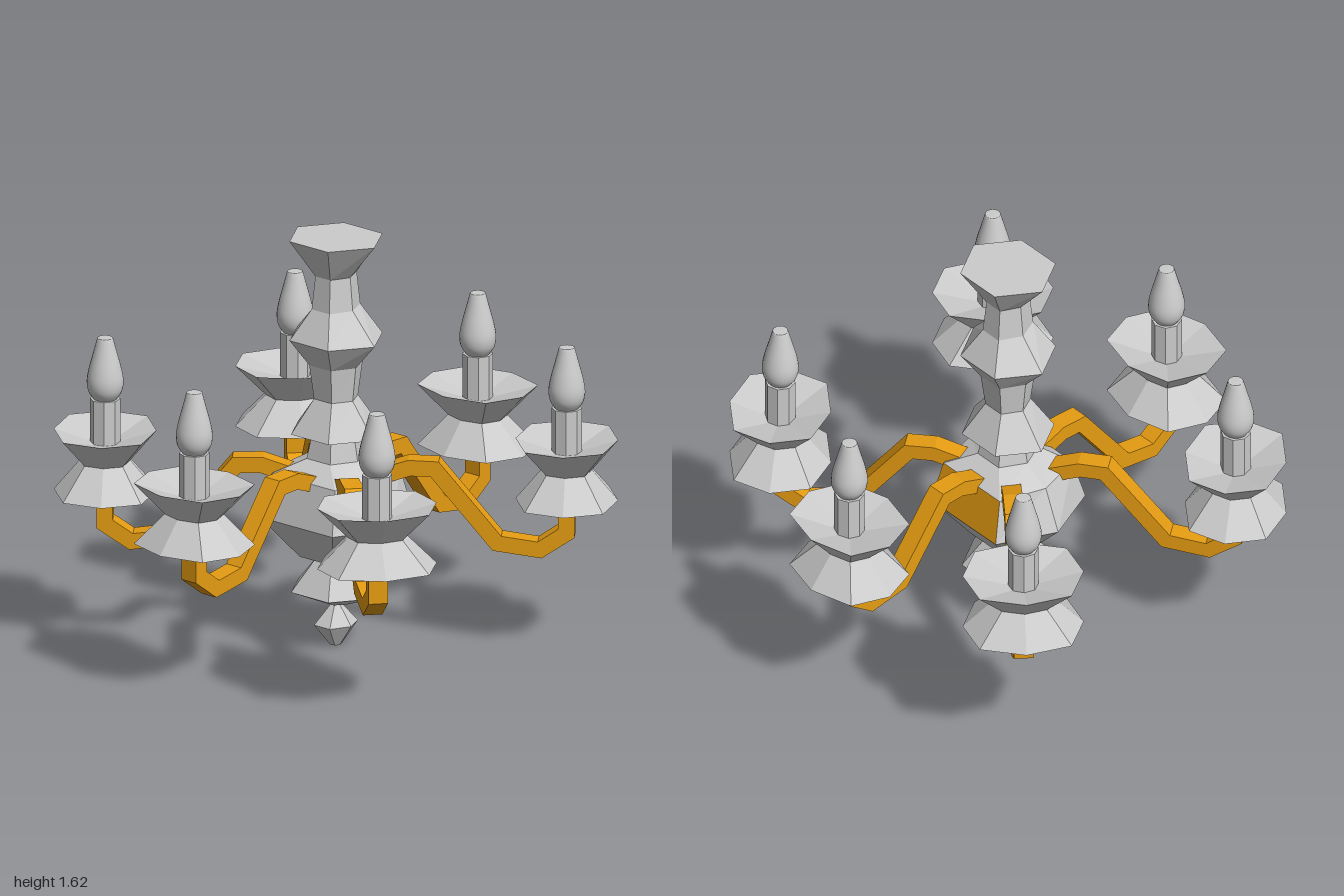
import * as THREE from 'three';

const grey = new THREE.MeshStandardMaterial({ color: 0xcccccc, flatShading: true });
const smoothGrey = new THREE.MeshStandardMaterial({ color: 0xcccccc });
const amber = new THREE.MeshStandardMaterial({ color: 0xe59c12, flatShading: true });

function part(name, geometry, material) {
  const mesh = new THREE.Mesh(geometry, material);
  mesh.name = name;
  return mesh;
}

// Joins equal-length rings of [x, y, z] points, bottom to top, with flat quads
function loft(rings, keep = () => true) {
  const pos = [];
  for (let i = 0; i < rings.length - 1; i++) {
    const n = rings[i].length;
    for (let j = 0; j < n; j++) {
      if (!keep(i, j)) continue;
      const k = (j + 1) % n;
      const a = rings[i][j], b = rings[i][k], c = rings[i + 1][k], d = rings[i + 1][j];
      pos.push(...a, ...b, ...c, ...a, ...c, ...d);
    }
  }
  const geo = new THREE.BufferGeometry();
  geo.setAttribute('position', new THREE.Float32BufferAttribute(pos, 3));
  geo.computeVertexNormals();
  return geo;
}

// Stretched hexagon: flat sides face +x and -x, points face +z and -z
const hexRing = ([y, x, side, tip]) => [
  [x, y, side], [x, y, -side], [0, y, -tip], [-x, y, -side], [-x, y, side], [0, y, tip],
];

// Column sections: height, half width, half side length, tip
const columnSections = [
  [0, 0, 0, 0], [0, 0.02, 0.012, 0.02], [0.085, 0.08, 0.04, 0.077], [0.17, 0.012, 0.006, 0.012],
  [0.17, 0.045, 0.03, 0.06], [0.22, 0.15, 0.095, 0.19], [0.35, 0.07, 0.04, 0.075],
  [0.355, 0.11, 0.085, 0.135], [0.52, 0.228, 0.185, 0.285], [0.69, 0.185, 0.16, 0.215],
  [0.75, 0.1, 0.06, 0.11], [0.83, 0.085, 0.05, 0.095], [0.85, 0.15, 0.095, 0.19],
  [0.985, 0.075, 0.045, 0.085], [1.12, 0.09, 0.055, 0.1], [1.225, 0.155, 0.0975, 0.195],
  [1.345, 0.088, 0.045, 0.085], [1.475, 0.075, 0.038, 0.072], [1.62, 0.155, 0.0975, 0.195],
  [1.62, 0, 0, 0],
];
const BODY = 8; // section at the widest part of the body

// Octagonal cup, pinched at the middle, with a shallow dish on top
function cupGeometry() {
  const ring = [[1, 0], [0.76, 0.76], [0, 1], [-0.76, 0.76], [-1, 0], [-0.76, -0.76], [0, -1], [0.76, -0.76]];
  const profile = [[0.61, 0], [0.595, 1], [0.715, 0.49], [0.835, 1], [0.77, 0]];
  return loft(profile.map(([y, s]) => ring.map(([u, v]) => [u * s * 0.195, y, -v * s * 0.23])));
}

// Bent square bar: a mitred strip in the radial plane, extruded sideways
function armGeometry(reach) {
  const path = [[1, 0.61], [1, 0.47], [0.885, 0.402], [0.7, 0.425], [0.43, 0.715], [0.32, 0.718], [0.19, 0.68]]
    .map(([r, y]) => new THREE.Vector2(r * reach, y));
  const half = 0.031, left = [], right = [];
  path.forEach((p, i) => {
    const d0 = (i > 0 ? p.clone().sub(path[i - 1]) : path[1].clone().sub(p)).normalize();
    const d1 = (i < path.length - 1 ? path[i + 1].clone().sub(p) : d0.clone()).normalize();
    const n0 = new THREE.Vector2(-d0.y, d0.x);
    const n = n0.clone().add(new THREE.Vector2(-d1.y, d1.x)).normalize();
    n.multiplyScalar(half / n.dot(n0));
    left.push(p.clone().add(n));
    right.unshift(p.clone().sub(n));
  });
  const geo = new THREE.ExtrudeGeometry(new THREE.Shape([...left, ...right]), { depth: 0.075, bevelEnabled: false });
  return geo.translate(0, 0, -0.0375);
}

// Smooth flame-shaped bulb
function bulbGeometry() {
  const curve = new THREE.SplineCurve([
    [0.045, 0.96], [0.064, 0.99], [0.07, 1.03], [0.062, 1.08], [0.046, 1.14], [0.03, 1.2],
  ].map(([r, y]) => new THREE.Vector2(r, y)));
  return new THREE.LatheGeometry([...curve.getPoints(20), new THREE.Vector2(0.028, 1.202), new THREE.Vector2(0, 1.202)], 24);
}

export function createModel() {
  const model = new THREE.Group();
  model.name = 'chandelier';

  // Central column, with one amber facet on the body
  const rings = columnSections.map(hexRing);
  const isAmber = (i, j) => i === BODY && j === 0;
  model.add(part('column', loft(rings, (i, j) => !isAmber(i, j)), grey));
  model.add(part('bodyFacet', loft(rings, isAmber), amber));

  // Six arms, each carrying a cup, candle and bulb
  const cup = cupGeometry(), bulb = bulbGeometry();
  const candle = new THREE.CylinderGeometry(0.058, 0.058, 0.2, 8).translate(0, 0.86, 0);
  for (const degrees of [0, 52, 128, 180, 232, 308]) {
    const reach = degrees % 180 === 0 ? 0.805 : 0.876;
    const branch = new THREE.Group();
    branch.name = 'branch';
    branch.rotation.y = THREE.MathUtils.degToRad(degrees);
    branch.add(part('arm', armGeometry(reach), amber));
    for (const mesh of [part('cup', cup, grey), part('candle', candle, grey), part('bulb', bulb, smoothGrey)]) {
      mesh.position.x = reach;
      branch.add(mesh);
    }
    model.add(branch);
  }
  return model;
}
